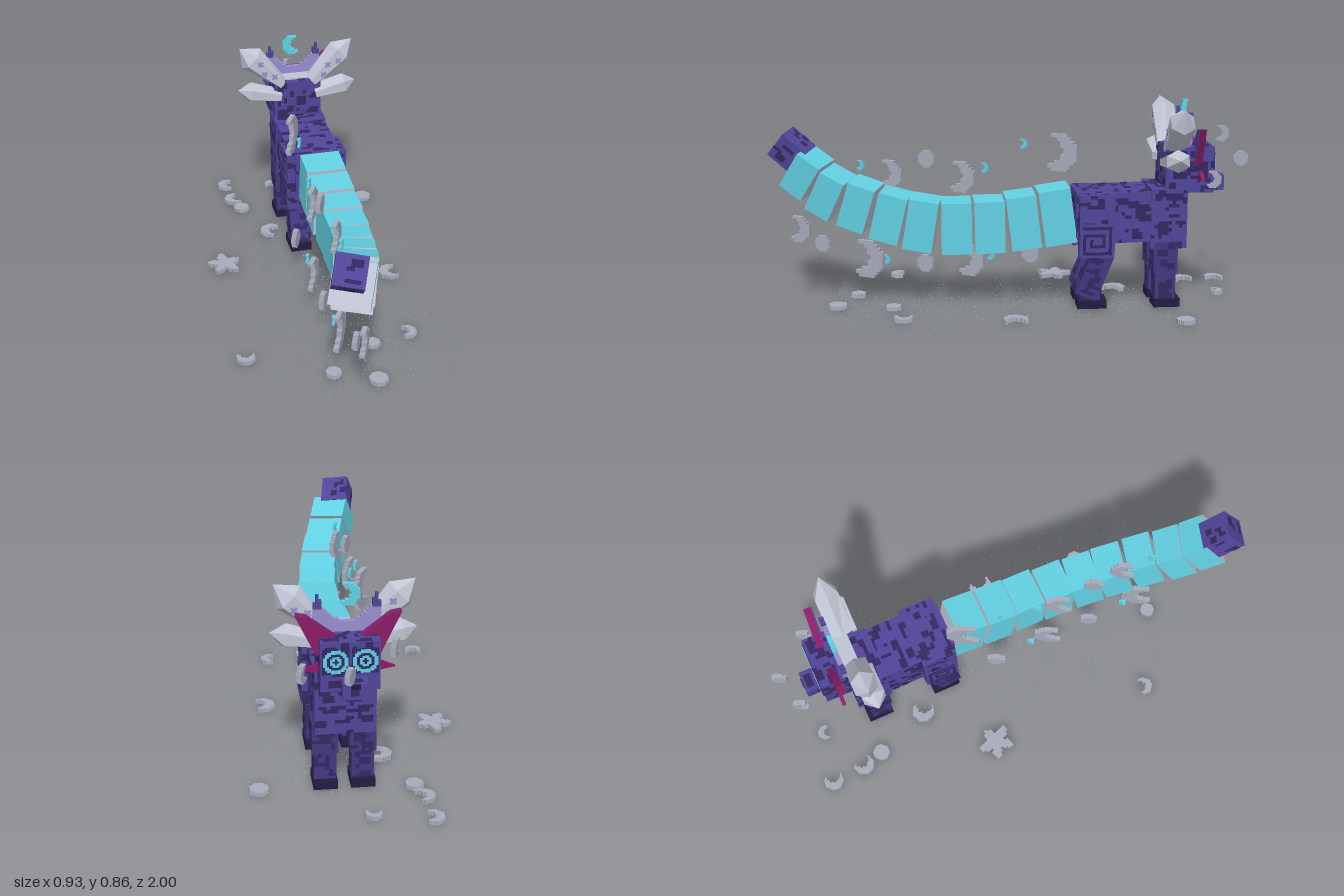
import * as THREE from 'three';
import { mergeGeometries } from 'three/addons/utils/BufferGeometryUtils.js';

const material = (name, color) => {
  const m = new THREE.MeshStandardMaterial({ color });
  m.name = name;
  return m;
};
const deg = Math.PI / 180;

export function createModel() {
  const root = new THREE.Group();
  root.name = 'crystalCat';
  const purple = material('purple fur', 0x51459a);
  const mid = material('middle fur', 0x42377f);
  const dark = material('dark fur', 0x33285f);
  const black = material('paw black', 0x231b40);
  const lavender = material('lavender', 0x988dce);
  const crystal = material('pale crystal', 0xc0c5d4);
  const grey = material('stone grey', 0xa6aaba);
  const teal = material('teal', 0x62d0e2);
  const magenta = material('magenta', 0x8a1c66);

  let seed = 7;
  const rnd = () => (seed = (seed * 16807) % 2147483647) / 2147483647;

  const add = (name, geo, mat, pos, rot = [0, 0, 0], parent = root) => {
    const mesh = new THREE.Mesh(geo, mat);
    mesh.name = name;
    mesh.position.set(...pos);
    mesh.rotation.set(rot[0] * deg, rot[1] * deg, rot[2] * deg, 'YXZ');
    parent.add(mesh);
    return mesh;
  };
  const box = (name, size, mat, pos, rot, parent) => add(name, new THREE.BoxGeometry(...size), mat, pos, rot, parent);

  // Box with a random pattern of dark square patches on its faces
  const cell = 0.0145;
  const spottedBox = (name, size, pos, rot, cover = 0.36, mat = purple) => {
    const mesh = box(name, size, mat, pos, rot);
    const [w, h, d] = size;
    const faces = [[w, h, d, 0, 0], [w, h, d, 0, 180], [d, h, w, 0, 90], [d, h, w, 0, -90], [w, d, h, -90, 0], [w, d, h, 90, 0]];
    const plates = [];
    for (const [fw, fh, depth, rx, ry] of faces) {
      const count = Math.round((fw * fh * cover) / (cell * cell * 3));
      for (let i = 0; i < count; i++) {
        const pw = Math.min(fw, cell * (1 + Math.floor(rnd() * 3)));
        const ph = Math.min(fh, cell * (1 + Math.floor(rnd() * 2)));
        const g = new THREE.PlaneGeometry(pw, ph);
        const snap = (room) => Math.min(room, Math.round((rnd() * room) / cell) * cell) - room / 2;
        g.translate(snap(fw - pw), snap(fh - ph), depth / 2 + 0.0012 + i * 0.00001);
        g.rotateX(rx * deg).rotateY(ry * deg);
        plates.push(g);
      }
    }
    add(name + 'Patches', mergeGeometries(plates), dark, [0, 0, 0], [0, 0, 0], mesh);
    return mesh;
  };

  // Flat stepped shape: each row of a grid becomes runs of boxes where inside(u, v) holds
  const pixels = (R, thick, inside, n = 11) => {
    const s = (2 * R) / n, parts = [];
    for (let j = 0; j < n; j++) {
      let start = -1;
      for (let i = 0; i <= n; i++) {
        const on = i < n && inside(((i + 0.5) / n) * 2 - 1, ((j + 0.5) / n) * 2 - 1);
        if (on && start < 0) start = i;
        if (!on && start >= 0) {
          const g = new THREE.BoxGeometry((i - start) * s, s, thick);
          g.translate(((start + i) / 2) * s - R, (j + 0.5) * s - R, 0);
          parts.push(g);
          start = -1;
        }
      }
    }
    return mergeGeometries(parts);
  };
  const moon = (u, v) => Math.hypot(u, v) < 1 && Math.hypot(u + 0.55, v - 0.12) > 0.75;
  const disc = (u, v) => Math.hypot(u, v) < 1.02;
  const star = (u, v) => Math.hypot(u, v) < 0.74 + 0.3 * Math.cos(5 * Math.atan2(v, u));
  const plus = (u, v) => Math.min(Math.abs(u), Math.abs(v)) < 0.3;

  // Body
  spottedBox('body', [0.22, 0.21, 0.40], [-0.003, 0.395, -0.475], [1.5, 0, 0]);
  spottedBox('chest', [0.23, 0.25, 0.15], [-0.003, 0.388, -0.647], [0, 0, 0], 0.45);
  spottedBox('rump', [0.19, 0.19, 0.06], [-0.003, 0.405, -0.295]);

  // Legs, haunches and square spiral marks, mirrored
  const spiral = [[0, 5.3, 12, 1.2], [-5.3, 0, 1.2, 12], [0, -5.3, 12, 1.2], [5.3, -1.7, 1.2, 8], [1.2, 2.3, 9, 1.2], [-2.6, 0, 1.2, 5], [0, -2.3, 6, 1.2], [2.4, -0.8, 1.2, 3]];
  for (const s of [1, -1]) {
    const x = s * 0.072 - 0.003;
    spottedBox('shoulder', [0.1, 0.13, 0.1], [x, 0.225, -0.635], [0, 0, 0], 0.45, mid);
    spottedBox('frontLeg', [0.085, 0.14, 0.085], [x, 0.1, -0.637], [0, 0, 0], 0.45, mid);
    box('frontPaw', [0.093, 0.036, 0.11], black, [x, 0.03, -0.645]);
    spottedBox('haunch', [0.05, 0.26, 0.145], [s * 0.107 - 0.003, 0.365, -0.347], [0, 0, 0], 0.36);
    spottedBox('hindLeg', [0.09, 0.2, 0.09], [x, 0.155, -0.342], [-22, 0, 0], 0.45, mid);
    spottedBox('hindAnkle', [0.08, 0.06, 0.085], [x, 0.06, -0.322], [0, 0, 0], 0.45, mid);
    box('hindPaw', [0.093, 0.036, 0.12], black, [x, 0.03, -0.332]);
    box('haunchPanel', [0.004, 0.142, 0.142], purple, [s * 0.1325 - 0.003, 0.305, -0.347]);
    for (const [a, b, w, h] of spiral)
      box('spiralMark', [0.003, h * 0.01, w * 0.01], dark, [s * 0.1355 - 0.003, 0.305 + b * 0.01, -0.347 + a * 0.01]);
  }

  // Head, snout and eyes
  spottedBox('head', [0.215, 0.19, 0.2], [-0.005, 0.59, -0.73], [0, 0, 0], 0.45);
  spottedBox('snout', [0.09, 0.062, 0.07], [-0.015, 0.52, -0.857], [0, 0, 0], 0.25);
  box('nose', [0.035, 0.02, 0.006], black, [-0.015, 0.54, -0.892]);
  for (const s of [1, -1]) {
    const x = s * 0.053 - 0.005;
    box('eyeSocket', [0.096, 0.096, 0.004], dark, [x, 0.612, -0.832]);
    add('eyeRing', pixels(0.045, 0.005, (u, v) => Math.abs(Math.hypot(u, v) - 0.87) < 0.12, 13), teal, [x, 0.612, -0.834]);
    add('pupil', pixels(0.02, 0.005, (u, v) => Math.abs(Math.hypot(u, v) - 0.8) < 0.25, 5), teal, [x, 0.612, -0.834]);
  }

  // Flat ears with furry backs, and cheek tufts
  const plate = (points, s, depth) => new THREE.ExtrudeGeometry(
    new THREE.Shape(points.map(([x, y]) => new THREE.Vector2(x * s, y))), { depth, bevelEnabled: false });
  const earOutline = [[0.04, 0.68], [0.115, 0.61], [0.192, 0.77], [0.155, 0.765]];
  for (const s of [1, -1]) {
    const ear = add('ear', plate(earOutline, s, 0.028), magenta, [-0.005, 0, -0.787], [0, -s * 4, 0]);
    add('earBack', plate(earOutline, s, 0.004), purple, [0, 0, 0.028], [0, 0, 0], ear);
    add('cheekTuft', plate([[0.1, 0.59], [0.17, 0.558], [0.1, 0.545]], s, 0.015), magenta, [-0.005, 0, -0.78]);
  }

  // Six-sided crystals, narrowing in width toward the base, with pointed ends, flat shaded
  const shard = (r, base, len, tip, depth) => {
    const shaft = new THREE.CylinderGeometry(r, r, len, 6).translate(0, len / 2, 0);
    const point = new THREE.ConeGeometry(r, tip, 6, 1, true).translate(0, len + tip / 2, 0);
    const g = mergeGeometries([shaft, point]).rotateY(30 * deg).scale(1, 1, depth).toNonIndexed();
    const p = g.attributes.position;
    for (let i = 0; i < p.count; i++)
      p.setX(i, p.getX(i) * THREE.MathUtils.lerp(base, 1, Math.min(1, p.getY(i) / len)));
    g.computeVertexNormals();
    return g;
  };
  const faceZ = 0.06 * 0.9 * Math.cos(30 * deg);
  for (const s of [1, -1]) {
    const upper = add('upperCrystal', shard(0.06, 0.45, 0.185, 0.075, 0.9), crystal, [s * 0.07 - 0.003, 0.672, -0.672], [0, 0, -s * 46]);
    add('lowerCrystal', shard(0.046, 0.6, 0.14, 0.055, 1.15), crystal, [s * 0.08 - 0.003, 0.62, -0.655], [0, 0, -s * 79]);
    for (const [u, v] of [[0.008, 0.06], [-0.012, 0.105], [0.012, 0.15]])
      for (const side of [1, -1])
        add('crystalFleck', pixels(0.015, 0.003, plus, 3), lavender, [u, v, side * faceZ], [0, 0, 0], upper);
  }
  box('crystalBand', [0.2, 0.008, 0.06], crystal, [-0.005, 0.688, -0.685]);

  // Crescent crown and the small moon floating over it
  const crown = (u, v) => Math.hypot(u, v) < 1 && Math.hypot(u, v - 0.47) > 0.8;
  add('crownBase', pixels(0.122, 0.02, (u, v) => crown(u, v) && v < 0.1, 24), lavender, [-0.005, 0.765, -0.725]);
  add('crownHorns', pixels(0.122, 0.02, (u, v) => crown(u, v) && v >= 0.1, 24), purple, [-0.005, 0.765, -0.725]);
  add('crownMoon', pixels(0.042, 0.02, moon), teal, [-0.009, 0.826, -0.725], [0, 180, 0]);

  // Tail: x, y, z, width, height, length, pitch, yaw, roll
  const tail = [
    [0.000, 0.395, -0.19, 0.170, 0.230, 0.132, 8, 0, 0],
    [0.000, 0.374, -0.05, 0.172, 0.222, 0.124, 7, 0, 0],
    [0.002, 0.358, 0.09, 0.165, 0.215, 0.124, 1, 0, 0],
    [-0.005, 0.353, 0.225, 0.160, 0.214, 0.124, 0, -1, 0],
    [-0.020, 0.364, 0.364, 0.155, 0.212, 0.122, -9, -8, -1],
    [-0.040, 0.393, 0.490, 0.155, 0.200, 0.122, -14, -12, -2],
    [-0.070, 0.436, 0.620, 0.155, 0.192, 0.116, -18, -14, -4],
    [-0.108, 0.481, 0.743, 0.155, 0.180, 0.112, -27, -17, -6],
    [-0.143, 0.559, 0.842, 0.155, 0.170, 0.112, -34, -18, -7],
  ];
  for (const [x, y, z, w, h, l, ...rot] of tail)
    box('tailSegment', [w, h, l], [teal, teal, teal, teal, crystal, crystal], [x, y, z], rot);
  spottedBox('tailTip', [0.118, 0.118, 0.125], [-0.172, 0.65, 0.903], [-40, -12, -10], 0.22);

  // Upright charms along the tail and round the head: shape, x, y, z, radius
  const charms = [
    [moon, -0.13, 0.63, -0.22, 0.08], [moon, -0.14, 0.53, 0.20, 0.066], [moon, -0.12, 0.55, 0.50, 0.06],
    [moon, -0.11, 0.325, 0.88, 0.055], [moon, -0.13, 0.185, 0.60, 0.08], [moon, -0.13, 0.17, 0.165, 0.068],
    [disc, -0.14, 0.61, 0.34, 0.036], [disc, -0.11, 0.26, 0.78, 0.034], [disc, -0.13, 0.16, 0.35, 0.036],
    [disc, -0.14, 0.19, -0.10, 0.038],
    [moon, -0.15, 0.70, -0.92, 0.034], [disc, 0.015, 0.62, -0.965, 0.03], [moon, 0.165, 0.562, -0.81, 0.034],
  ];
  for (const [shape, x, y, z, r] of charms)
    add('charm', pixels(r, 0.02, shape), grey, [x, y, z], [0, 62, 0]);
  for (const [y, z] of [[0.59, 0.62], [0.57, 0.10], [0.67, -0.065], [0.18, 0.52], [0.19, 0.075]])
    add('tealCharm', pixels(0.02, 0.012, moon, 8), teal, [-0.13, y, z], [0, 62, 0]);

  // Charms lying on the ground: shape, x, z, radius, turn
  const fallen = [
    [moon, -0.30, -0.945, 0.04, 180], [moon, -0.29, -0.80, 0.042, 200], [disc, -0.27, -0.71, 0.034, 0],
    [disc, 0.322, -0.68, 0.036, 0], [moon, -0.175, -0.47, 0.046, 160], [star, -0.437, -0.235, 0.073, 20],
    [moon, 0.26, 0.0, 0.048, 190], [moon, -0.475, 0.465, 0.036, 270], [moon, 0.20, 0.45, 0.036, 0],
    [disc, 0.0, 0.72, 0.036, 0], [disc, -0.16, 0.64, 0.03, 0], [disc, 0.04, 0.49, 0.03, 0],
    [moon, -0.085, -0.90, 0.03, 90],
  ];
  for (const [shape, x, z, r, turn] of fallen)
    add('fallenCharm', pixels(r, 0.018, shape), grey, [x, 0.017, z], [-90, 0, turn]);

  // Fine glowing dust on the ground, with a few specks rising
  const dust = [];
  for (let i = 0; i < 700; i++) {
    const spread = (rnd() + rnd() + rnd() - 1.5) * 0.34;
    const lift = i % 25 ? 0 : rnd() * 0.35;
    dust.push(new THREE.BoxGeometry(0.0025, 0.0025, 0.0025).translate(spread, 0.008 + lift, rnd() * 1.5 - 0.72));
  }
  add('dust', mergeGeometries(dust), teal, [0, 0, 0]);
  return root;
}
